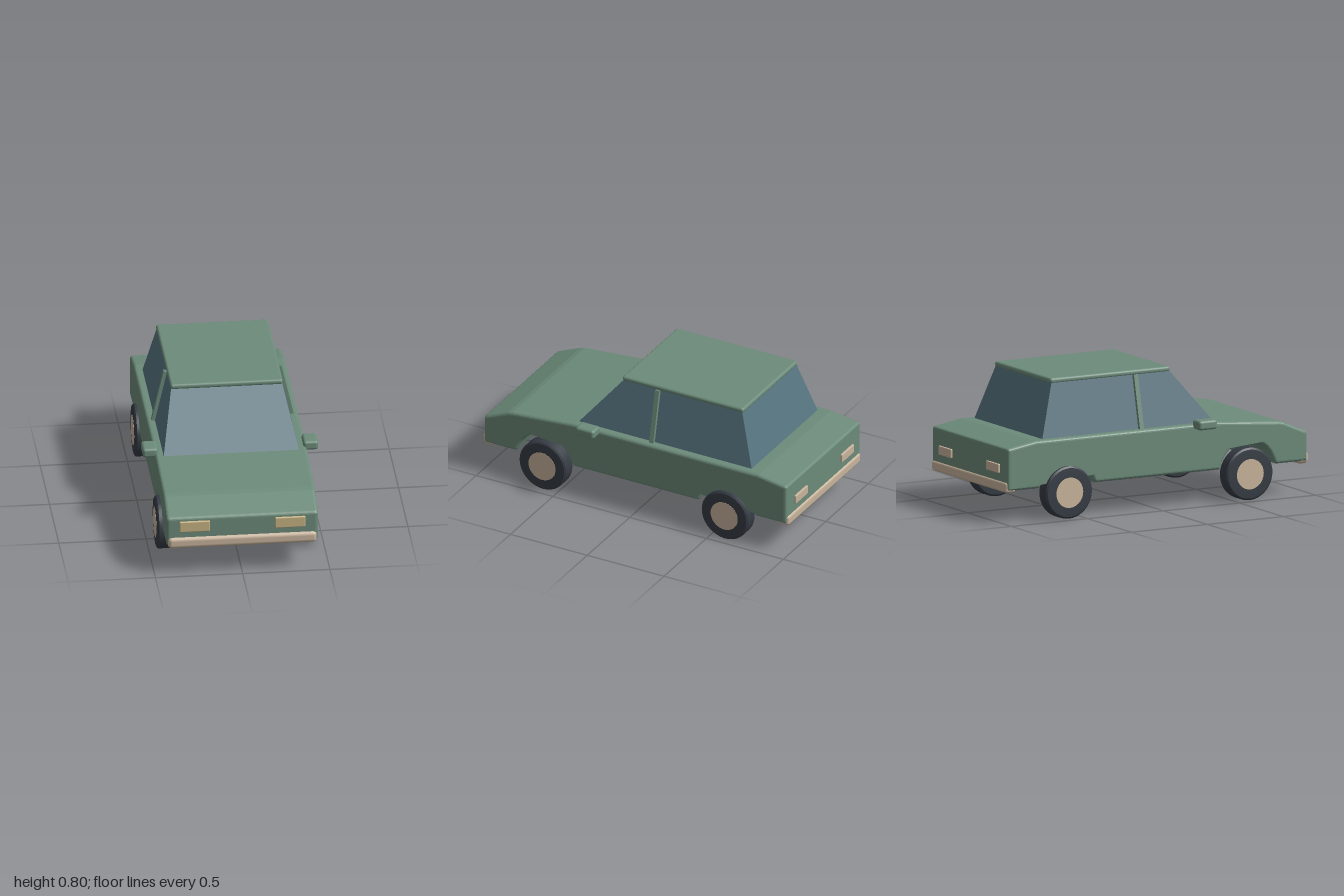
import * as THREE from 'three';
import { RoundedBoxGeometry } from 'three/addons/geometries/RoundedBoxGeometry.js';
import { toCreasedNormals } from 'three/addons/utils/BufferGeometryUtils.js';

function makeMaterial(name, color) {
  const m = new THREE.MeshStandardMaterial({ color });
  m.name = name;
  return m;
}

export function createModel() {
  const car = new THREE.Group();
  car.name = 'car';
  const paint = makeMaterial('green paint', 0x6c8b7a);
  const glass = makeMaterial('blue grey glass', 0x56747f);
  const rubber = makeMaterial('dark rubber', 0x363c45);
  const trim = makeMaterial('beige trim', 0xc8b49c);
  const lamp = makeMaterial('yellow lamp', 0xc8b384);

  const add = (name, geometry, material, parent = car) => {
    const mesh = new THREE.Mesh(geometry, material);
    mesh.name = name;
    parent.add(mesh);
    return mesh;
  };
  // Rounded block given by its limits on each axis
  const block = (name, x, y, z, radius, material) => {
    const g = new RoundedBoxGeometry(x[1] - x[0], y[1] - y[0], z[1] - z[0], 3, radius);
    g.translate((x[0] + x[1]) / 2, (y[0] + y[1]) / 2, (z[0] + z[1]) / 2);
    return add(name, g, material);
  };

  // Lower body: side profile with wheel arches, extruded across the width
  const profile = new THREE.Shape();
  profile.moveTo(-0.972, 0.19);
  for (const z of [-0.593, 0.593]) {
    profile.lineTo(z - 0.195, 0.19);
    profile.quadraticCurveTo(z - 0.18, 0.19, z - 0.172, 0.215);
    profile.bezierCurveTo(z - 0.14, 0.295, z - 0.09, 0.337, z, 0.337);
    profile.bezierCurveTo(z + 0.09, 0.337, z + 0.14, 0.295, z + 0.172, 0.215);
    profile.quadraticCurveTo(z + 0.18, 0.19, z + 0.195, 0.19);
  }
  profile.lineTo(0.972, 0.19);
  profile.quadraticCurveTo(0.985, 0.19, 0.985, 0.203);
  profile.lineTo(0.985, 0.345);
  profile.quadraticCurveTo(0.985, 0.36, 0.97, 0.367);
  profile.lineTo(0.83, 0.427);
  profile.lineTo(0.8, 0.434);
  profile.lineTo(0.4, 0.467);
  profile.lineTo(-0.8, 0.464);
  profile.lineTo(-0.97, 0.436);
  profile.quadraticCurveTo(-0.985, 0.433, -0.985, 0.42);
  profile.lineTo(-0.985, 0.203);
  profile.quadraticCurveTo(-0.985, 0.19, -0.972, 0.19);
  const bevel = 0.018;
  const bodyGeometry = new THREE.ExtrudeGeometry(profile, {
    depth: 0.87 - 2 * bevel, curveSegments: 8,
    bevelThickness: bevel, bevelSize: bevel, bevelOffset: -bevel, bevelSegments: 4,
  });
  bodyGeometry.translate(0, 0, -(0.87 - 2 * bevel) / 2);
  bodyGeometry.rotateY(-Math.PI / 2);
  add('body', bodyGeometry, paint);

  // Cabin glass: a box whose top is pulled in on all sides
  const cabin = new THREE.BoxGeometry(1, 1, 1).toNonIndexed();
  const p = cabin.attributes.position;
  for (let i = 0; i < p.count; i++) {
    const top = p.getY(i) > 0, front = p.getZ(i) > 0;
    const x = Math.sign(p.getX(i)) * (top ? 0.318 : 0.39);
    const z = front ? (top ? 0.14 : 0.402) : (top ? -0.632 : -0.735);
    p.setXYZ(i, x, top ? 0.772 : 0.455, z);
  }
  cabin.computeVertexNormals();
  add('cabinGlass', cabin, glass);

  block('roof', [-0.322, 0.322], [0.764, 0.796], [-0.64, 0.148], 0.014, paint);

  // Bumpers
  block('frontBumper', [-0.427, 0.427], [0.173, 0.243], [0.925, 1], 0.024, trim);
  block('rearBumper', [-0.427, 0.427], [0.178, 0.238], [-0.994, -0.925], 0.015, trim);

  // Tyre outline as (radius, half width), slightly domed at the sides
  const tyreOutline = [
    [0.08, -0.047], [0.09, -0.047], [0.142, -0.044], [0.152, -0.036],
    [0.152, 0.036], [0.142, 0.044], [0.09, 0.047], [0.08, 0.047],
  ].map(([r, h]) => new THREE.Vector2(r, h));
  const tyreGeometry = toCreasedNormals(new THREE.LatheGeometry(tyreOutline, 36), 0.4);
  tyreGeometry.rotateZ(Math.PI / 2);
  const hubGeometry = new THREE.CylinderGeometry(0.088, 0.088, 0.096, 36);
  hubGeometry.rotateZ(Math.PI / 2);

  for (const side of [-1, 1]) {
    const label = side > 0 ? 'left' : 'right';
    const span = (a, b) => (side > 0 ? [a, b] : [-b, -a]);

    // Lamps and door mirror
    block(label + 'Headlight', span(0.186, 0.361), [0.275, 0.342], [0.975, 0.995], 0.007, lamp);
    block(label + 'TailLight', span(0.2, 0.343), [0.283, 0.335], [-0.997, -0.977], 0.005, trim);
    block(label + 'Mirror', span(0.418, 0.503), [0.441, 0.496], [0.235, 0.355], 0.016, paint);

    // Door pillar leaning with the side glass
    const pillar = add(label + 'Pillar', new THREE.BoxGeometry(0.026, 0.325, 0.027), paint);
    pillar.position.set(side * 0.361, 0.612, -0.088);
    pillar.rotation.z = side * 0.223;

    // Wheels
    for (const end of [-1, 1]) {
      const wheel = new THREE.Group();
      wheel.name = label + (end > 0 ? 'Front' : 'Rear') + 'Wheel';
      wheel.position.set(side * 0.413, 0.152, end * 0.593);
      add('tyre', tyreGeometry, rubber, wheel);
      add('hub', hubGeometry, trim, wheel);
      car.add(wheel);
    }
  }
  return car;
}
